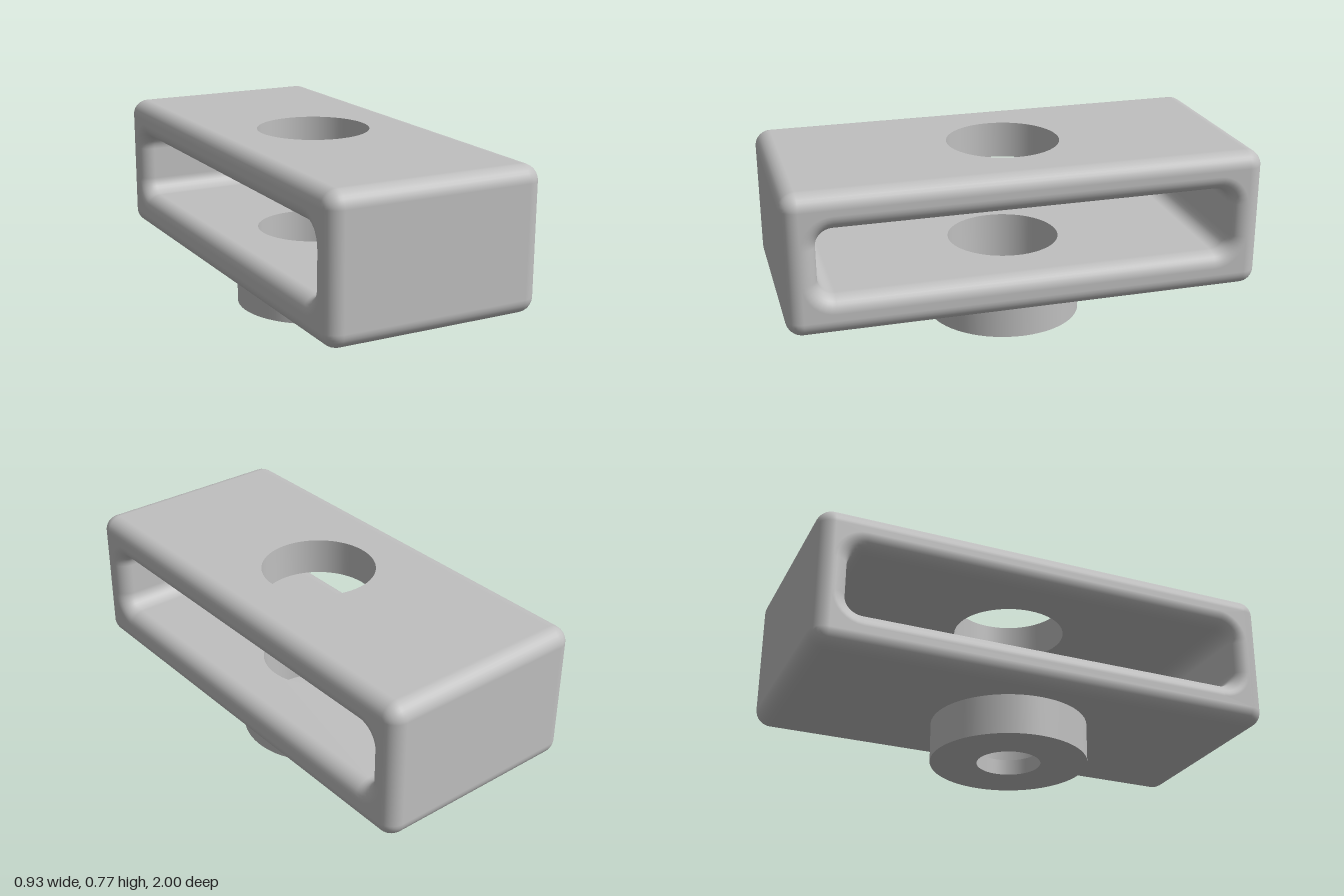
import * as THREE from 'three';

const R = 0.067;                                // edge rounding
const HX = 0.465 - R;                           // half width of the flat band
const OUTER = { z: 1 - R, y0: 0.17 + R, y1: 0.767 - R };       // corner centres
const INNER = { z: 0.866 - R, y0: 0.333 + R, y1: 0.61 - R };
const HOLE = 0.24, BORE = 0.135, BOSS = 0.333;
const SEG = 8;

// Rounded rectangular frame: a rounded cross-section carried round the loop.
// The flat top and bottom spans are left open for the drilled plates.
function frameGeometry() {
  const profile = [];
  const add = (rect, radius, x, nx, nr) => profile.push({ rect, radius, x, nx, nr });
  for (const side of [1, -1]) {
    for (let k = 0; k <= 2 * SEG + 1; k++) {
      const j = side > 0 ? k : 2 * SEG + 1 - k;
      const outer = j <= SEG;
      const a = (outer ? j : 2 * SEG + 1 - j) / SEG * Math.PI / 2;
      const s = Math.sin(a), c = Math.cos(a);
      if (outer) add(OUTER, R * c, side * (HX + R * s), side * s, c);
      else add(INNER, R * (2 - c), side * (HX + R * s), side * s, -c);
    }
  }
  const P = profile.length, ring = 4 * (SEG + 1), pos = [], nor = [], idx = [];
  for (let i = 0; i < ring; i++) {
    const corner = Math.floor(i / (SEG + 1));
    const t = (corner + (i % (SEG + 1)) / SEG) * Math.PI / 2;
    const cz = Math.cos(t), cy = Math.sin(t);
    for (const p of profile) {
      const z = (corner === 0 || corner === 3 ? 1 : -1) * p.rect.z;
      const y = corner < 2 ? p.rect.y1 : p.rect.y0;
      pos.push(p.x, y + p.radius * cy, z + p.radius * cz);
      nor.push(p.nx, p.nr * cy, p.nr * cz);
    }
  }
  for (let i = 0; i < ring; i++) {
    const flat = i === SEG || i === 3 * SEG + 2;    // top and bottom spans
    for (let j = 0; j < P; j++) {
      const band = j === P - 1 || j === P / 2 - 1;  // faces running across x
      if (flat && band) continue;
      const i2 = (i + 1) % ring, j2 = (j + 1) % P;
      const a = i * P + j, b = i * P + j2, c = i2 * P + j2, d = i2 * P + j;
      idx.push(a, b, c, a, c, d);
    }
  }
  const g = new THREE.BufferGeometry();
  g.setAttribute('position', new THREE.Float32BufferAttribute(pos, 3));
  g.setAttribute('normal', new THREE.Float32BufferAttribute(nor, 3));
  g.setIndex(idx);
  return g;
}

// Flat span with a round hole, facing up or down
function plateGeometry(halfZ, y, radius, up) {
  const s = new THREE.Shape();
  s.moveTo(-HX, -halfZ).lineTo(HX, -halfZ).lineTo(HX, halfZ).lineTo(-HX, halfZ).closePath();
  s.holes.push(new THREE.Path().absarc(0, 0, radius, 0, Math.PI * 2, true));
  return new THREE.ShapeGeometry(s, 32).rotateX(up ? -Math.PI / 2 : Math.PI / 2).translate(0, y, 0);
}

export function createModel() {
  const model = new THREE.Group();
  const grey = new THREE.MeshStandardMaterial({ color: 0xc0c0c0 });
  grey.name = 'plain grey';
  const add = (name, geometry, parent = model) => {
    const m = new THREE.Mesh(geometry, grey);
    m.name = name;
    parent.add(m);
  };
  // One revolved face; separate faces keep the edges sharp
  const turn = (name, r0, y0, r1, y1, parent) => add(name, new THREE.LatheGeometry(
    [new THREE.Vector2(r0, y0), new THREE.Vector2(r1, y1)], 64), parent);

  // Hollow body
  const body = new THREE.Group();
  body.name = 'body';
  model.add(body);
  add('roundedFrame', frameGeometry(), body);
  add('topOutside', plateGeometry(OUTER.z, 0.767, HOLE, true), body);
  add('topInside', plateGeometry(INNER.z, 0.61, HOLE, false), body);
  add('floorInside', plateGeometry(INNER.z, 0.333, HOLE, true), body);
  add('floorOutside', plateGeometry(OUTER.z, 0.17, BOSS, false), body);
  turn('topHoleWall', HOLE, 0.767, HOLE, 0.61, body);

  // Round boss with a stepped bore
  const boss = new THREE.Group();
  boss.name = 'boss';
  model.add(boss);
  turn('bossWall', BOSS, 0, BOSS, 0.17, boss);
  turn('bossUnderside', BORE, 0, BOSS, 0, boss);
  turn('counterboreWall', HOLE, 0.333, HOLE, R, boss);
  turn('counterboreFloor', HOLE, R, BORE, R, boss);
  turn('boreWall', BORE, R, BORE, 0, boss);
  return model;
}
